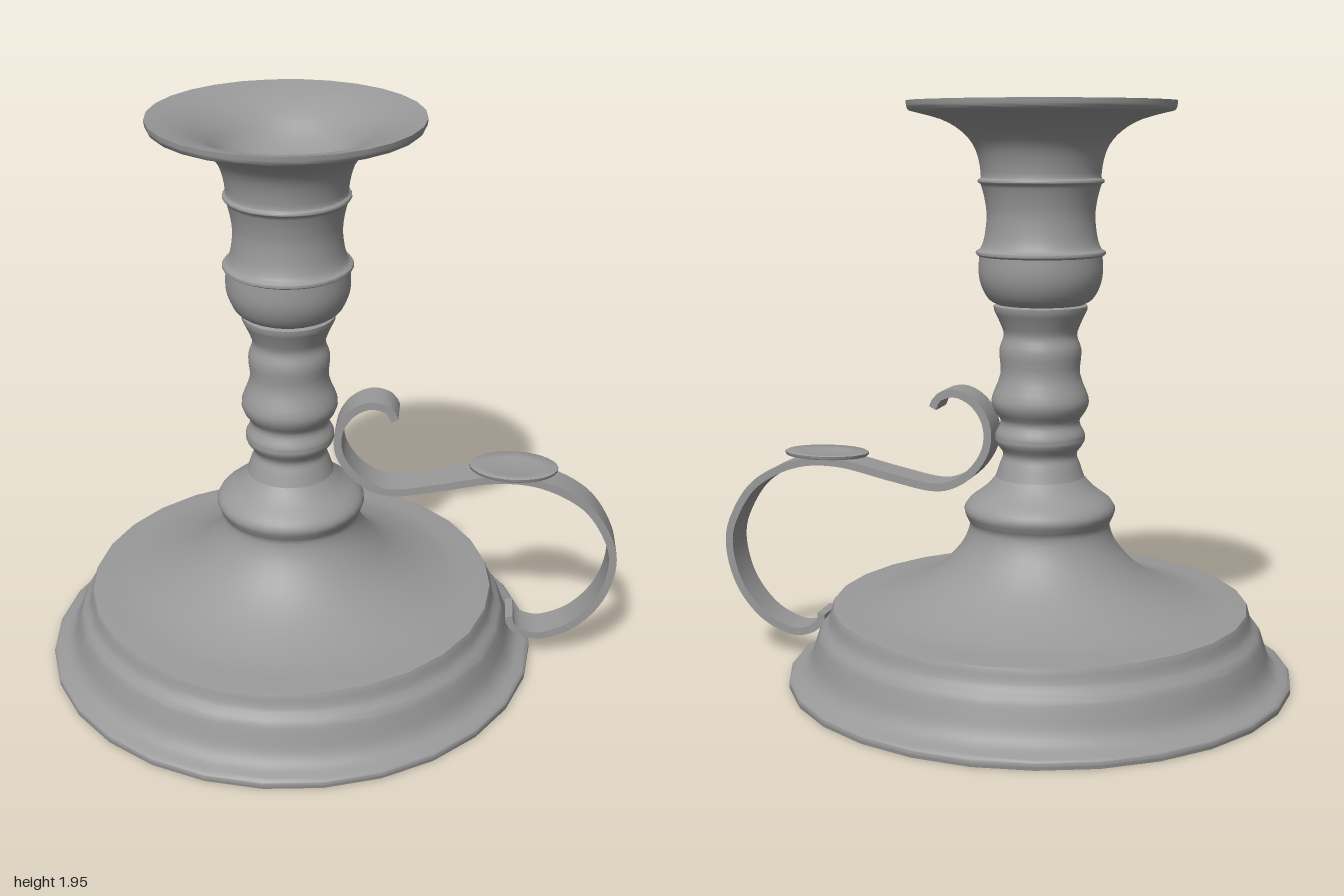
import * as THREE from 'three';
import { toCreasedNormals } from 'three/addons/utils/BufferGeometryUtils.js';

const AXIS_X = -0.14;
const SIDES = 28;
const material = new THREE.MeshStandardMaterial({ color: 0x999999 });
const vectors = (points) => points.map(([x, y]) => new THREE.Vector2(x, y));

function addMesh(group, name, geometry) {
  const mesh = new THREE.Mesh(toCreasedNormals(geometry, 0.95), material);
  mesh.name = name;
  group.add(mesh);
  return mesh;
}

// Joins several smooth curves into one profile and turns it
function turned(sections) {
  const points = sections.flatMap((section, i) => {
    const part = section.length === 2
      ? vectors(section)
      : new THREE.SplineCurve(vectors(section)).getPoints((section.length - 1) * 3);
    return i ? part.slice(1) : part;
  });
  return new THREE.LatheGeometry(points, SIDES);
}

// A flat band: a curve in the xy plane thickened and given a width along z
function band(points, thickness, width) {
  const curve = new THREE.SplineCurve(vectors(points));
  const left = [], right = [];
  const steps = 90;
  for (let i = 0; i <= steps; i++) {
    const p = curve.getPointAt(i / steps);
    const t = curve.getTangentAt(i / steps);
    const n = new THREE.Vector2(-t.y, t.x).multiplyScalar(thickness / 2);
    left.push(p.clone().add(n));
    right.unshift(p.clone().sub(n));
  }
  const shape = new THREE.Shape([...left, ...right]);
  return new THREE.ExtrudeGeometry(shape, { depth: width, bevelEnabled: false })
    .translate(0, 0, -width / 2);
}

export function createModel() {
  const model = new THREE.Group();
  model.name = 'chamberstick';

  // Turned body, all on one axis
  const body = new THREE.Group();
  body.name = 'body';
  body.position.x = AXIS_X;
  model.add(body);

  // Stepped foot with closed underside
  addMesh(body, 'base', turned([
    [[0, 0], [0.858, 0]],
    [[0.858, 0], [0.86, 0.01], [0.858, 0.024], [0.845, 0.032], [0.81, 0.048], [0.785, 0.08],
      [0.768, 0.13], [0.754, 0.17], [0.735, 0.192], [0.722, 0.212], [0.712, 0.25]],
    [[0.712, 0.25], [0.708, 0.259]],
    [[0.708, 0.259], [0.68, 0.262], [0.59, 0.27], [0.5, 0.295], [0.41, 0.335], [0.33, 0.39],
      [0.265, 0.465], [0.238, 0.53], [0.248, 0.56], [0.257, 0.588], [0.24, 0.618],
      [0.185, 0.66], [0.15, 0.7]],
  ]));

  // Beaded stem
  addMesh(body, 'stem', turned([
    [[0.15, 0.7], [0.135, 0.745], [0.125, 0.78], [0.15, 0.82], [0.15, 0.85], [0.133, 0.89],
      [0.157, 0.93], [0.163, 0.97], [0.134, 1.05], [0.138, 1.13], [0.123, 1.18],
      [0.135, 1.22], [0.156, 1.265]],
    [[0.156, 1.265], [0.157, 1.28]],
    [[0.157, 1.28], [0.14, 1.286]],
  ]));

  // Candle cup with its two raised rings, flared lip and shallow hollow
  addMesh(body, 'candleCup', turned([
    [[0.14, 1.283], [0.175, 1.303], [0.198, 1.345], [0.207, 1.39], [0.205, 1.445]],
    [[0.205, 1.445], [0.216, 1.452], [0.214, 1.462], [0.2, 1.472],
      [0.187, 1.51], [0.18, 1.58], [0.188, 1.64], [0.2, 1.682]],
    [[0.2, 1.682], [0.209, 1.688], [0.208, 1.697], [0.199, 1.706],
      [0.206, 1.76], [0.225, 1.81], [0.265, 1.855], [0.33, 1.892], [0.435, 1.92]],
    [[0.435, 1.92], [0.443, 1.93], [0.446, 1.952]],
    [[0.446, 1.952], [0.38, 1.938], [0.31, 1.912], [0.25, 1.875], [0.2, 1.83],
      [0.14, 1.795], [0.07, 1.778], [0, 1.775]],
  ]));

  // Scrolled handle
  addMesh(model, 'handle', band([
    [0.222, 0.925], [0.2, 0.963], [0.14, 0.978], [0.075, 0.945], [0.033, 0.875], [0.035, 0.79],
    [0.085, 0.71], [0.155, 0.662], [0.235, 0.65], [0.385, 0.678], [0.57, 0.715], [0.73, 0.703],
    [0.88, 0.625], [0.965, 0.5], [0.986, 0.39], [0.95, 0.255], [0.865, 0.148], [0.76, 0.097],
    [0.69, 0.103], [0.648, 0.133], [0.64, 0.168],
  ], 0.027, 0.12));

  // Oval thumb rest
  const rest = addMesh(model, 'thumbRest', new THREE.LatheGeometry(vectors([
    [0, -0.007], [0.146, -0.007], [0.151, -0.002], [0.151, 0.005],
    [0.145, 0.008], [0.1, 0.002], [0, -0.001],
  ]), SIDES));
  rest.scale.z = 0.69;
  rest.position.set(0.63, 0.739, 0);

  return model;
}
